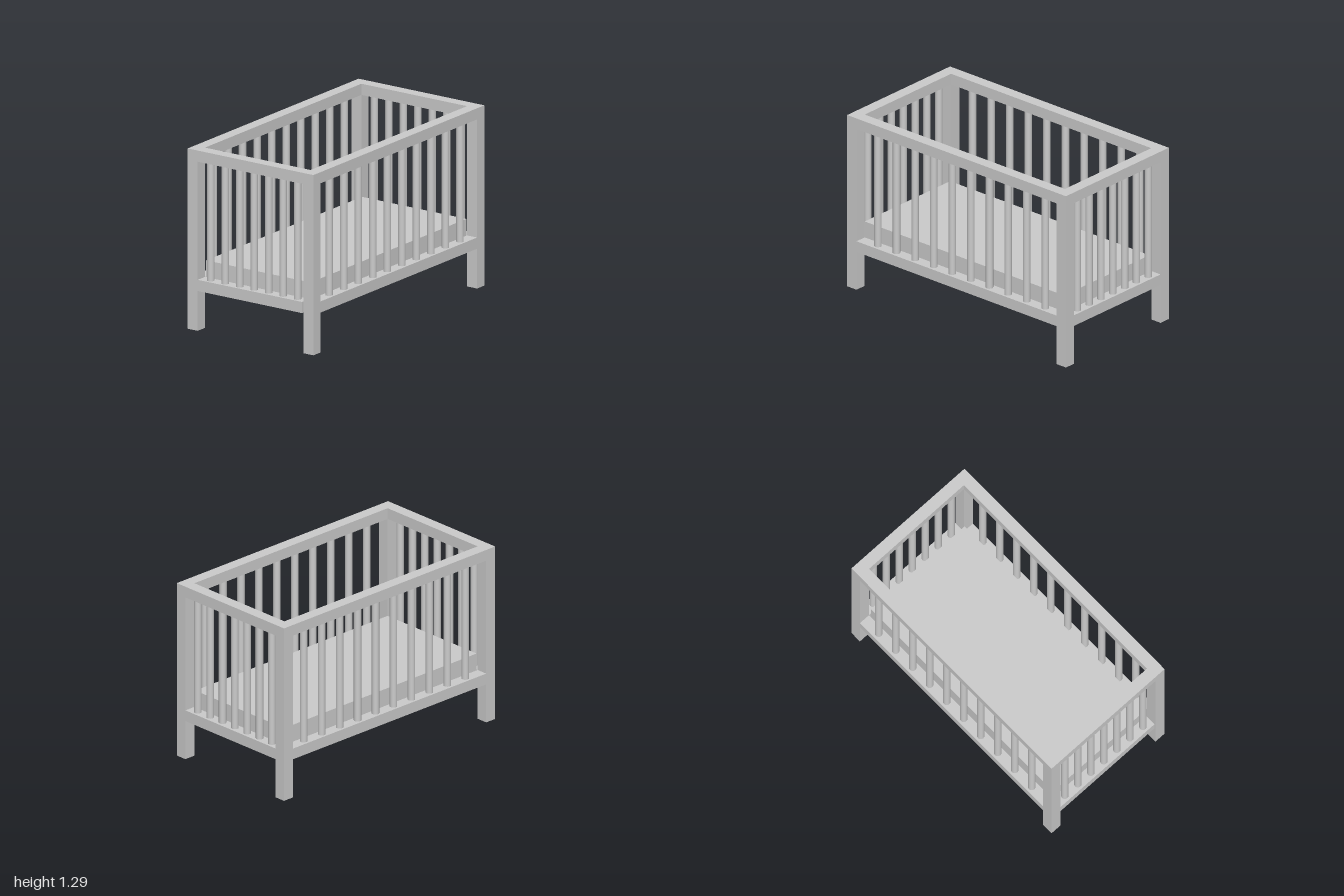
import * as THREE from 'three';

export function createModel() {
  const model = new THREE.Group();
  const material = new THREE.MeshStandardMaterial({ color: 0xcccccc });

  // Box given by its minimum and maximum corners
  function box(name, [x0, y0, z0], [x1, y1, z1]) {
    const mesh = new THREE.Mesh(new THREE.BoxGeometry(x1 - x0, y1 - y0, z1 - z0), material);
    mesh.name = name;
    mesh.position.set((x0 + x1) / 2, (y0 + y1) / 2, (z0 + z1) / 2);
    model.add(mesh);
  }

  const X = 0.53, Z = 1, T = 0.085;   // half width, half length, timber thickness
  const xi = X - T, zi = Z - T;       // inner faces of the frame
  const top = 1.29, topUnder = 1.21, lowTop = 0.365, lowUnder = 0.285;

  // Corner posts
  for (const sx of [-1, 1]) for (const sz of [-1, 1]) {
    const x = sx > 0 ? xi : -X, z = sz > 0 ? zi : -Z;
    box('cornerPost', [x, 0, z], [x + T, top, z + T]);
  }

  // Long side rails
  for (const x of [-X, xi]) {
    box('sideTopRail', [x, topUnder, -zi], [x + T, top, zi]);
    box('sideLowerRail', [x, lowUnder, -zi], [x + T, lowTop, zi]);
  }

  // End rails; the front lower rail stops just short of its post
  for (const z of [-Z, zi]) {
    box('endTopRail', [-xi, topUnder, z], [xi, top, z + T]);
    box('endLowerRail', [-xi, lowUnder, z], [z > 0 ? xi - 0.01 : xi, lowTop, z + T]);
  }

  // Round slats between the rails
  const slatGeometry = new THREE.CylinderGeometry(0.026, 0.026, topUnder - lowTop, 24, 1, true);
  function slat(name, x, z) {
    const mesh = new THREE.Mesh(slatGeometry, material);
    mesh.name = name;
    mesh.position.set(x, (topUnder + lowTop) / 2, z);
    model.add(mesh);
  }
  for (const s of [-1, 1]) {
    for (let i = 0; i < 10; i++) slat('sideSlat', s * (X - T / 2), 0.757 - i * 0.17);
    for (let i = -3; i <= 3; i++) slat('endSlat', i * 0.122, s * (Z - T / 2));
  }

  // Mattress, set slightly off the left and rear rails
  box('mattress', [-xi + 0.01, 0.305, -zi + 0.008], [xi, 0.485, zi]);

  return model;
}
